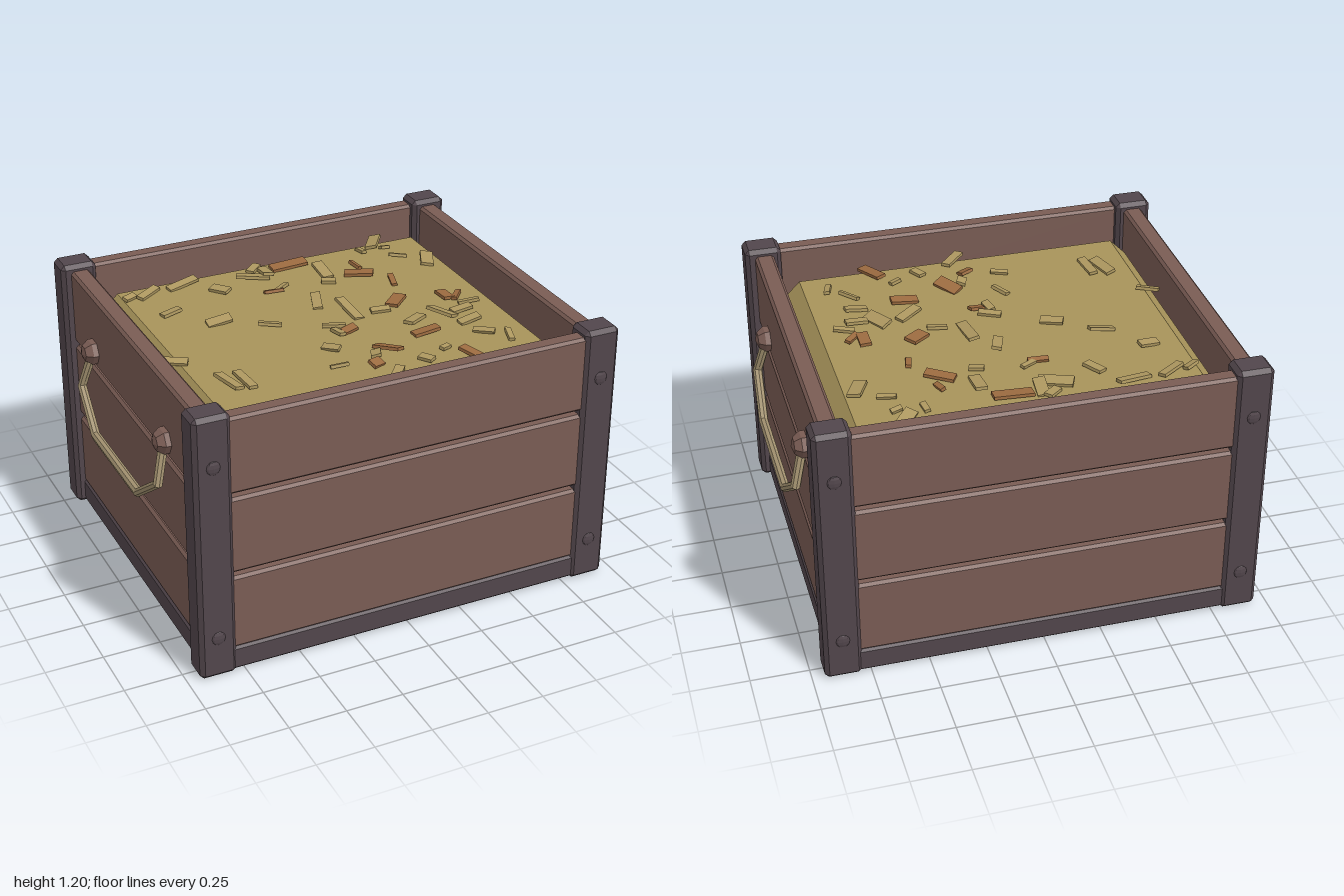
import * as THREE from 'three';
import { ConvexGeometry } from 'three/addons/geometries/ConvexGeometry.js';

const flat = (name, color) => {
  const m = new THREE.MeshStandardMaterial({ color, flatShading: true });
  m.name = name;
  return m;
};

// Box with chamfered edges and corners
function chamferBox(w, h, d, c) {
  const pts = [];
  for (const sx of [-1, 1]) for (const sy of [-1, 1]) for (const sz of [-1, 1]) {
    const x = w / 2, y = h / 2, z = d / 2;
    pts.push(
      new THREE.Vector3(sx * x, sy * (y - c), sz * (z - c)),
      new THREE.Vector3(sx * (x - c), sy * y, sz * (z - c)),
      new THREE.Vector3(sx * (x - c), sy * (y - c), sz * z));
  }
  return new ConvexGeometry(pts);
}

// Straight-sided tube with one ring at each path point
class PolyCurve extends THREE.CatmullRomCurve3 {
  getPointAt(u, target) { return this.getPoint(u, target); }
  getTangentAt(u, target) { return this.getTangent(u, target); }
}

export function createModel() {
  const plankMat = flat('reddish brown wood', 0x7a5c54);
  const frameMat = flat('dark purple wood', 0x52464c);
  const fillMat = flat('straw', 0xa8945a);
  const ropeMat = flat('tan handle', 0xa39270);
  const tanMat = flat('tan chip', 0xae9860);
  const brownMat = flat('brown chip', 0x9c6b40);

  const model = new THREE.Group();
  model.name = 'crate';
  const add = (name, geo, mat, x, y, z, parent = model) => {
    const mesh = new THREE.Mesh(geo, mat);
    mesh.name = name;
    mesh.position.set(x, y, z);
    parent.add(mesh);
    return mesh;
  };

  // Floor slab
  add('base', chamferBox(1.82, 0.107, 1.64, 0.01), frameMat, 0, 0.0615, 0);

  // Corner posts with domed bolts on the front and back faces
  const postGeo = chamferBox(0.16, 1.2, 0.13, 0.018);
  const boltGeo = new THREE.SphereGeometry(0.032, 8, 6);
  for (const sx of [-1, 1]) for (const sz of [-1, 1]) {
    add('cornerPost', postGeo, frameMat, sx * 0.867, 0.6, sz * 0.765);
    for (const y of [0.19, 0.98]) {
      add('bolt', boltGeo, frameMat, sx * 0.867, y, sz * 0.828).scale.z = 0.32;
    }
  }

  // Three rows of planks with narrow gaps
  for (const [y0, y1] of [[0.11, 0.45], [0.469, 0.813], [0.832, 1.172]]) {
    const h = y1 - y0, y = (y0 + y1) / 2;
    const longGeo = chamferBox(1.66, h, 0.077, 0.012);
    const sideGeo = chamferBox(0.085, h, 1.48, 0.012);
    for (const s of [-1, 1]) {
      add(s > 0 ? 'frontPlank' : 'backPlank', longGeo, plankMat, 0, y, s * 0.777);
      add('sidePlank', sideGeo, plankMat, s * 0.8625, y, 0);
    }
  }

  // Side handles hanging from two knobs
  const knobGeo = new THREE.SphereGeometry(0.059, 6, 5);
  knobGeo.rotateX(Math.PI / 2).rotateY(Math.PI / 2);
  const half = [[0.92, 0.9, 0.43], [0.963, 0.738, 0.463], [0.979, 0.593, 0.262]];
  const path = [...half, ...half.map(([x, y, z]) => [x, y, -z]).reverse()]
    .map((p) => new THREE.Vector3(...p));
  const handleGeo = new THREE.TubeGeometry(new PolyCurve(path, false, 'catmullrom', 0.5), 5, 0.021, 8);
  for (const s of [-1, 1]) {
    const side = new THREE.Group();
    side.name = s > 0 ? 'leftHandle' : 'rightHandle';
    side.rotation.y = s > 0 ? 0 : Math.PI;
    add('grip', handleGeo, ropeMat, 0, 0, 0, side);
    for (const z of [-0.43, 0.43]) add('knob', knobGeo, plankMat, 0.909, 0.91, z, side);
    model.add(side);
  }

  // Bevelled layer of filling
  const top = 1.07;
  add('filling', chamferBox(1.6, top - 0.84, 1.37, 0.072), fillMat, 0, (top + 0.84) / 2, 0);

  // Loose wood chips: x, z, length, turn in degrees
  let seed = 7;
  const rand = () => (seed = (seed * 16807) % 2147483647) / 2147483647;
  const chip = (x, z, len, turn, mat, wide) => {
    const m = add('woodChip', new THREE.BoxGeometry(len, 0.014, wide), mat, x, top + 0.012, z);
    m.rotation.set((rand() - 0.5) * 0.7, THREE.MathUtils.degToRad(turn), (rand() - 0.5) * 0.35, 'YXZ');
  };
  const tanChips = [
    [-0.70, -0.53, 0.07, 30], [-0.61, -0.54, 0.13, 35], [-0.44, -0.565, 0.15, 15],
    [-0.31, -0.44, 0.09, -55], [-0.125, -0.5, 0.15, -25], [-0.055, -0.53, 0.11, 85],
    [0.185, -0.43, 0.13, 90], [0.53, -0.615, 0.13, 55], [0.67, -0.345, 0.12, 65],
    [-0.435, -0.15, 0.11, 0], [-0.59, -0.315, 0.09, 10], [-0.25, -0.03, 0.1, -25],
    [0.025, -0.15, 0.12, 70], [0.12, -0.02, 0.18, 95], [-0.01, 0.1, 0.1, -25],
    [0.33, 0.19, 0.12, 35], [0.47, 0.175, 0.13, -60], [0.54, 0.29, 0.1, 5],
    [-0.61, 0.375, 0.15, -75], [-0.545, 0.39, 0.15, -85], [0.025, 0.615, 0.14, 50],
    [-0.74, 0.125, 0.1, -30],
  ];
  const brownChips = [
    [0.07, -0.55, 0.17, 0], [0.32, -0.335, 0.13, -30], [0.34, -0.01, 0.1, 40],
    [0.56, 0.03, 0.09, 90], [0.32, 0.31, 0.12, 0], [0.105, 0.38, 0.12, -55],
    [0.405, 0.59, 0.15, -65], [0, 0.485, 0.06, 20],
  ];
  for (const c of tanChips) chip(...c, tanMat, 0.03 + rand() * 0.03);
  for (const c of brownChips) chip(...c, brownMat, 0.045 + rand() * 0.015);
  // Smaller scattered slivers, denser toward the left half
  for (let i = 0; i < 22; i++) {
    chip(-0.15 + rand() * 0.78, -0.58 + rand() * 1.12, 0.04 + rand() * 0.06,
      rand() * 180, i % 5 ? tanMat : brownMat, 0.02 + rand() * 0.025);
  }
  return model;
}
